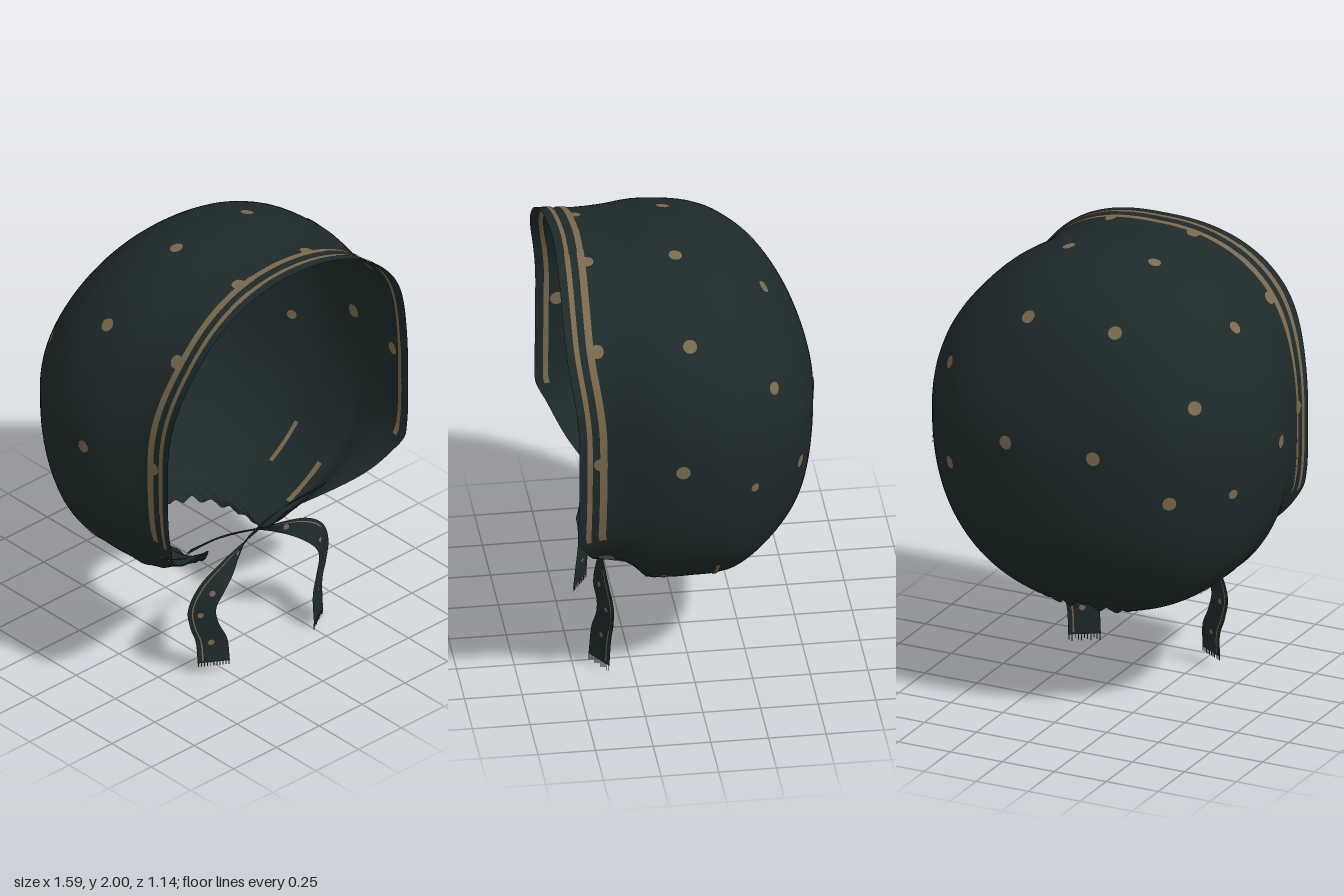
import * as THREE from 'three';
import { mergeVertices } from 'three/addons/utils/BufferGeometryUtils.js';

const material = (name, color) => {
  const m = new THREE.MeshStandardMaterial({ color, side: THREE.DoubleSide });
  m.name = name;
  return m;
};

// Smooth interpolation through rows of [key, values...]
function spline(rows, x, col) {
  let i = 0;
  while (i < rows.length - 2 && x > rows[i + 1][0]) i++;
  const slope = (j) => {
    const a = rows[Math.max(j - 1, 0)], b = rows[Math.min(j + 1, rows.length - 1)];
    return (b[col] - a[col]) / (b[0] - a[0]);
  };
  const h = rows[i + 1][0] - rows[i][0];
  const t = THREE.MathUtils.clamp((x - rows[i][0]) / h, 0, 1), t2 = t * t, t3 = t2 * t;
  return (2 * t3 - 3 * t2 + 1) * rows[i][col] + (t3 - 2 * t2 + t) * h * slope(i)
    + (3 * t2 - 2 * t3) * rows[i + 1][col] + (t3 - t2) * h * slope(i + 1);
}

// Cap sections from back to front: z, top, bottom, half width
const BACK = -0.57, MID = 1.22;
const sections = [
  [-0.57, 1.22, 1.22, 0], [-0.545, 1.4, 0.91, 0.25], [-0.47, 1.6, 0.705, 0.5],
  [-0.34, 1.805, 0.535, 0.648], [-0.2, 1.922, 0.43, 0.742], [-0.1, 1.965, 0.407, 0.781],
  [0, 1.988, 0.405, 0.79],
  [0.12, 2.0, 0.405, 0.787], [0.2, 1.995, 0.43, 0.768], [0.28, 1.985, 0.54, 0.742],
  [0.4, 1.983, 0.6, 0.705], [0.5, 1.985, 0.61, 0.697], [0.57, 1.985, 0.62, 0.71],
].map(([z, ...rest]) => [Math.sqrt(z - BACK), ...rest]);

// Open edge from the nape to the crown: u, angle from straight down, z
const edge = [
  [0, 0, -0.22], [0.06, 0.12, -0.19], [0.12, 0.19, -0.08], [0.2, 0.2, 0.1], [0.27, 0.18, 0.27],
  [0.36, 0.5, 0.4], [0.45, 1.0, 0.49], [0.49, 1.2, 0.53], [0.52, 1.33, 0.532],
  [0.62, 1.75, 0.53], [0.78, 2.3, 0.57], [1, Math.PI, 0.55],
];

const sectionAt = (z) => {
  const q = Math.sqrt(Math.max(z - BACK, 0));
  return { top: spline(sections, q, 1), bottom: spline(sections, q, 2), width: spline(sections, q, 3) };
};
// Rounder at the back, squarer at the jaw
const exponent = (upper, z) =>
  (upper ? 2.1 + 0.6 * Math.max(z - 0.1, 0) : 2.3 + 5 * Math.max(z - 0.15, 0));

// Point on the cap at a signed angle around the z axis
function capPoint(angle, z) {
  const s = sectionAt(z), c = Math.cos(angle), sn = Math.sin(angle);
  const p = 2 / exponent(c < 0, z);
  const height = c < 0 ? s.top - MID : s.bottom - MID;
  return new THREE.Vector3(
    Math.sign(sn) * s.width * Math.abs(sn) ** p, MID + height * Math.abs(c) ** p, z);
}

// Cap cloth, gathered in small folds around the neck
function clothPoint(u, s) {
  const k = Math.abs(u), side = u < 0 ? -1 : 1;
  const angle = THREE.MathUtils.lerp(k * Math.PI, spline(edge, k, 1), s);
  const p = capPoint(side * angle, BACK + (spline(edge, k, 2) - BACK) * s * s);
  p.y += 0.014 * Math.sin(k * 150) * Math.exp(-((k / 0.2) ** 4)) * s ** 8;
  return p;
}

// Point at distance d behind the open edge
function hemPoint(u, d) {
  const k = Math.abs(u);
  return capPoint((u < 0 ? -1 : 1) * spline(edge, k, 1), spline(edge, k, 2) - d);
}

// Normal taken towards u = 0, so it points outwards on the left half and inwards on the right
function normalAt(f, u, v) {
  const e = 1e-3, p = f(u, v);
  return f(u - Math.sign(u) * e, v).sub(p).cross(f(u, v + e).sub(p)).normalize();
}

// Sheet over a rectangle of parameters, shifted along its normal
function sheet(f, u0, u1, v0, v1, nu, nv, shift = 0) {
  const pos = [], index = [];
  for (let i = 0; i <= nu; i++) for (let j = 0; j <= nv; j++) {
    const u = u0 + (u1 - u0) * i / nu, v = v0 + (v1 - v0) * j / nv;
    const p = f(u, v);
    if (shift) p.addScaledVector(normalAt(f, u, v), shift);
    pos.push(p.x, p.y, p.z);
    if (i < nu && j < nv) {
      const a = i * (nv + 1) + j, b = a + nv + 1;
      index.push(a, b, a + 1, b, b + 1, a + 1);
    }
  }
  let g = new THREE.BufferGeometry();
  g.setAttribute('position', new THREE.Float32BufferAttribute(pos, 3));
  g.setIndex(index);
  g = mergeVertices(g, 1e-5);
  g.computeVertexNormals();
  return g;
}

export function createModel() {
  const model = new THREE.Group();
  model.name = 'bonnet';
  const cloth = material('dark green cloth', 0x1e2a2a);
  const gold = material('dull gold print', 0x7a694d);
  const thread = material('fringe thread', 0x454341);
  const add = (name, geometry, mat, parent = model) => {
    const mesh = new THREE.Mesh(geometry, mat);
    mesh.name = name;
    parent.add(mesh);
    return mesh;
  };

  // Printed dot lying on both faces of a surface
  const dot = (f, u, v, r, parent) => {
    const n = normalAt(f, u, v), p = f(u, v);
    for (const side of [1, -1]) {
      const m = add('dot', new THREE.CircleGeometry(r, 16), gold, parent);
      m.position.copy(p).addScaledVector(n, 0.004 * side);
      m.quaternion.setFromUnitVectors(new THREE.Vector3(0, 0, 1), n.clone().multiplyScalar(side));
    }
  };

  add('cap', sheet(clothPoint, -1, 1, 0, 1, 400, 40), cloth);

  for (const side of [-1, 1]) for (const shift of [-0.004, 0.004]) {
    // Printed bands along the face opening, the front one also inside
    const outward = normalAt(hemPoint, side * 0.6, 0.1).x * side * shift > 0;
    add('frontBand', sheet(hemPoint, side * 0.485, side, 0.035, 0.058, 110, 2, shift), gold);
    if (outward) {
      add('rearBand', sheet(hemPoint, side * 0.485, side, 0.09, 0.122, 110, 2, shift), gold);
      add('jawPatch', sheet(hemPoint, side * 0.345, side * 0.43, 0.03, 0.1, 24, 4, shift), gold);
    }
    // Print showing in the gathers
    add('gatherStreak', sheet(capPoint, side * 0.42, side * 0.72, 0.125, 0.152, 16, 2, shift), gold);
    add('gatherStreak', sheet(capPoint, side * 0.58, side * 0.86, -0.095, -0.075, 16, 2, shift), gold);
  }

  // Scattered dots, mirrored left and right
  const dots = new THREE.Group();
  dots.name = 'dots';
  model.add(dots);
  const places = [
    [0.21, 1.79, -0.335], [0.58, 1.5, -0.33], [0.21, 1.28, -0.55], [0.5, 1.1, -0.45],
    [0.21, 1.99, 0.045], [0.6, 1.75, 0.035], [0.77, 1.235, 0.09], [0.745, 1.09, -0.23, 0.022],
    [0.2, 1.98, 0.43], [0.59, 1.76, 0.435], [0.71, 1.25, 0.435],
  ];
  for (const [x, y, z, r = 0.031] of places) {
    const s = sectionAt(z), up = y > MID, n = exponent(up, z) / 2;
    const c = (Math.abs(y - MID) / (up ? s.top - MID : MID - s.bottom)) ** n;
    const angle = Math.atan2((x / s.width) ** n, up ? -c : c);
    for (const side of [-1, 1]) dot(capPoint, side * angle, z, r, dots);
  }

  // Ties cross under the chin: centre x, y, z and half-width vector
  const tiePath = [
    [-0.4, 0.635, 0.33, 0, 0.022, 0.015], [-0.16, 0.587, 0.285, 0, 0.02, 0.02],
    [0.02, 0.562, 0.315, 0, 0.018, 0.022], [0.13, 0.54, 0.35, 0.005, 0.03, 0.005],
    [0.235, 0.5, 0.38, 0.025, 0.04, -0.01], [0.315, 0.43, 0.385, 0.045, 0.03, -0.025],
    [0.355, 0.34, 0.37, 0.055, 0.005, -0.03], [0.34, 0.25, 0.37, 0.055, -0.005, -0.03],
    [0.31, 0.17, 0.38, 0.06, 0, -0.035], [0.305, 0.03, 0.39, 0.06, 0, -0.037],
  ];
  for (const side of [1, -1]) {
    const tie = new THREE.Group();
    tie.name = side > 0 ? 'leftTie' : 'rightTie';
    model.add(tie);
    const lift = side > 0 ? 0 : 0.03, forward = side > 0 ? 0 : 0.012;
    const centre = new THREE.CatmullRomCurve3(tiePath.map(([x, y, z], i) => new THREE.Vector3(
      side * x, y + (i === 9 ? lift : 0), z + (i > 0 && i < 5 ? forward : 0))));
    const width = new THREE.CatmullRomCurve3(
      tiePath.map((r) => new THREE.Vector3(side * r[3], r[4], r[5])));
    const ribbon = (s, t) => centre.getPoint(s).addScaledVector(width.getPoint(s), t);
    add('ribbon', sheet(ribbon, 0, 1, -1, 1, 70, 4), cloth, tie);
    for (const shift of [-0.003, 0.003])
      add('ribbonStripe', sheet(ribbon, 0.2, 0.99, 0.62, 0.72, 60, 1, shift), gold, tie);
    for (const [s, t] of [[0.35, 0.1], [0.57, -0.2], [0.7, 0.1], [0.9, 0.05]])
      dot(ribbon, s, t, 0.014, tie);

    // Frayed end
    for (let i = 0; i <= 10; i++) {
      const p = ribbon(1, -0.95 + 0.19 * i), length = side > 0 ? 0.03 - 0.006 * (i % 3) : 0.018;
      add('fringe', new THREE.BoxGeometry(0.003, length, 0.003), thread, tie)
        .position.set(p.x, p.y - length / 2, p.z);
    }
  }
  return model;
}
